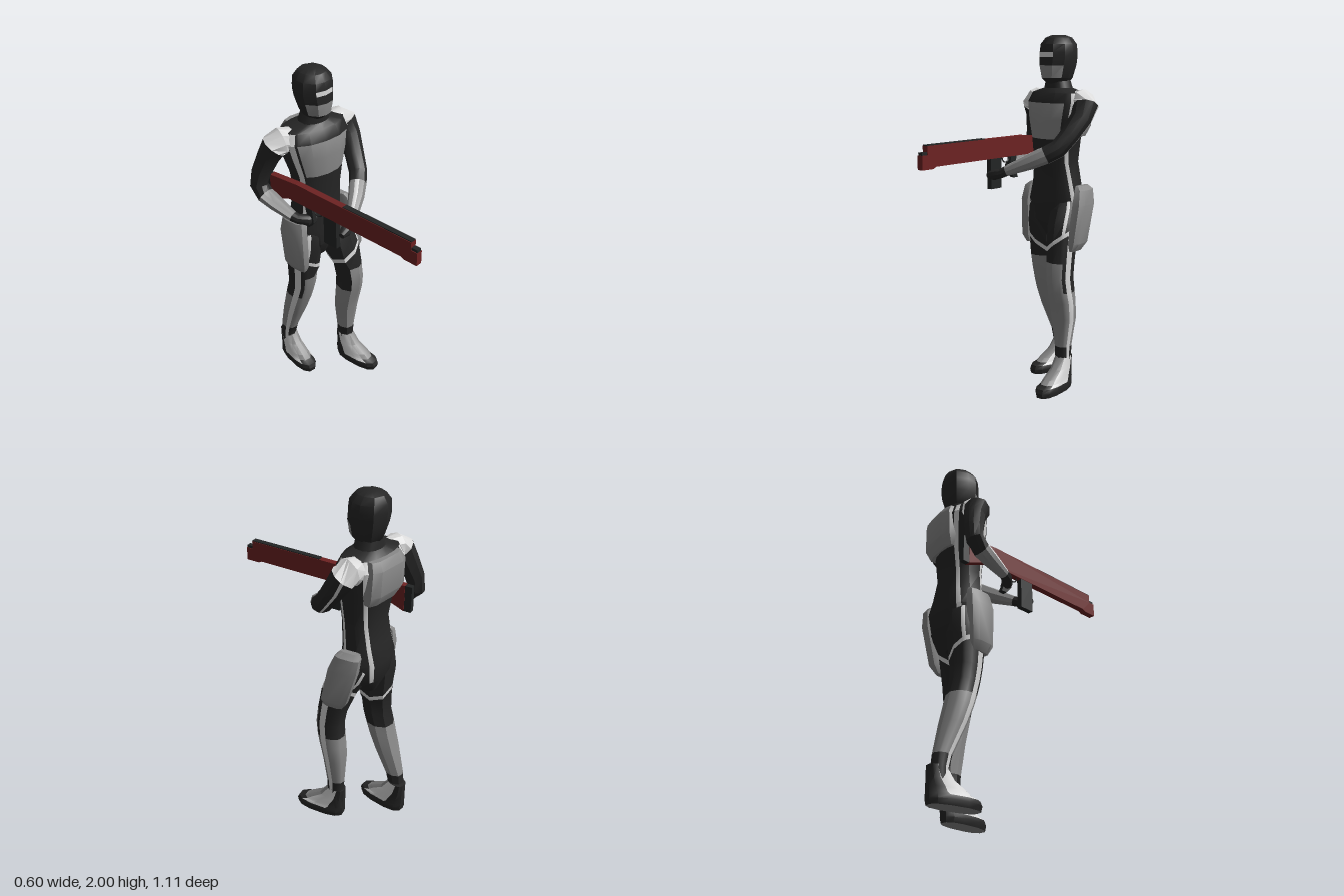
import * as THREE from 'three';
import { toCreasedNormals } from 'three/addons/utils/BufferGeometryUtils.js';

const COLORS = { suitBlack: 0x262626, armourGrey: 0x8a8a8a, trimWhite: 0xdadada, rifleRed: 0x6e2222, gunBlack: 0x232525 };
const V = (x, y, z) => new THREE.Vector3(x, y, z);

export function createModel() {
  const root = new THREE.Group();
  root.name = 'armedTrooper';
  const mats = Object.entries(COLORS).map(([name, color]) => {
    const m = new THREE.MeshStandardMaterial({ color });
    m.name = name;
    return m;
  });
  const [BLACK, GREY, WHITE, RED, GUN] = [0, 1, 2, 3, 4];

  // Skin over rings [x, y, z, rx, rz, yaw, tilt]; angle 0 is the outer side, 90 the front.
  // With opt.ref the rings follow the path, otherwise they lie flat (listed bottom up).
  function loft(name, rings, angles, colour, opt = {}) {
    const { s = 1, pow = 0.9, ref = null, caps = [BLACK, BLACK] } = opt;
    const centre = rings.map(r => V(r[0], r[1], r[2]));
    const pts = rings.map(([, , , rx, rz, yaw = 0, tilt = 0], i) => {
      let t = V(0, 1, 0), u = V(Math.cos(yaw), 0, -Math.sin(yaw)).multiplyScalar(s);
      if (ref) {
        t = centre[Math.min(i + 1, rings.length - 1)].clone().sub(centre[Math.max(i - 1, 0)]).normalize();
        u = ref.clone().addScaledVector(t, -ref.dot(t)).normalize();
      }
      const v = u.clone().cross(t).multiplyScalar(s);
      return angles.map(deg => {
        const a = deg * Math.PI / 180, c = Math.cos(a), n = Math.sin(a);
        const p = centre[i].clone()
          .addScaledVector(u, rx * Math.sign(c) * Math.abs(c) ** pow)
          .addScaledVector(v, rz * Math.sign(n) * Math.abs(n) ** pow);
        p.y += tilt * c;
        return p;
      });
    });
    const buckets = mats.map(() => []);
    const tri = (m, a, b, c) => [a, ...(s > 0 ? [b, c] : [c, b])].forEach(p => buckets[m].push(p.x, p.y, p.z));
    const N = angles.length, last = rings.length - 1;
    for (let j = 0; j < N; j++) {
      const k = (j + 1) % N;
      for (let i = 0; i < last; i++) {
        const m = colour(i, j);
        tri(m, pts[i][j], pts[i + 1][j], pts[i][k]);
        tri(m, pts[i + 1][j], pts[i + 1][k], pts[i][k]);
      }
      tri(caps[0], centre[0], pts[0][j], pts[0][k]);
      tri(caps[1], centre[last], pts[last][k], pts[last][j]);
    }
    let geo = new THREE.BufferGeometry();
    geo.setAttribute('position', new THREE.Float32BufferAttribute(buckets.flat(), 3));
    geo = toCreasedNormals(geo, 0.55);
    let start = 0;
    buckets.forEach((b, m) => {
      if (b.length) geo.addGroup(start, b.length / 3, m);
      start += b.length / 3;
    });
    const mesh = new THREE.Mesh(geo, mats);
    mesh.name = name;
    root.add(mesh);
    return mesh;
  }
  const even = (n, from) => Array.from({ length: n }, (_, i) => from + i * 360 / n);

  // Torso: chest panel and four long stripes, turned towards the rifle
  loft('torso', [
    [0.015, 0.86, -0.315, 0.05, 0.06], [0.015, 0.97, -0.315, 0.15, 0.112, -0.03],
    [0.015, 1.08, -0.32, 0.17, 0.124, -0.08], [0.02, 1.18, -0.31, 0.15, 0.11, -0.13],
    [0.02, 1.3, -0.298, 0.136, 0.104, -0.2], [0.02, 1.43, -0.3, 0.152, 0.117, -0.26],
    [0.02, 1.54, -0.308, 0.184, 0.13, -0.27], [0.02, 1.63, -0.315, 0.204, 0.13, -0.27],
    [0.022, 1.685, -0.315, 0.182, 0.1, -0.27], [0.025, 1.71, -0.31, 0.085, 0.07, -0.25],
    [0.025, 1.76, -0.305, 0.064, 0.066, -0.2],
  ], [16, 28, 42, 66, 90, 114, 138, 143, 157, 194, 220, 231, 250, 270, 290, 309, 320, 346], (i, j) => {
    if (i > 0 && i < 8 && [0, 7, 10, 15].includes(j)) return WHITE;
    return (i === 5 || i === 6) && j >= 2 && j <= 5 ? GREY : BLACK;
  });

  // Masked head with light visor and grey jaw guard
  loft('head', [
    [0.025, 1.735, -0.3, 0.055, 0.06], [0.025, 1.765, -0.295, 0.078, 0.09],
    [0.025, 1.835, -0.3, 0.098, 0.104], [0.025, 1.88, -0.305, 0.104, 0.104],
    [0.025, 1.906, -0.305, 0.104, 0.104], [0.025, 1.95, -0.306, 0.098, 0.1],
    [0.025, 1.985, -0.308, 0.07, 0.075], [0.025, 2, -0.308, 0.035, 0.035],
  ].map(r => [...r, -0.2]), [-5, 22, 62, 90, 118, 158, 185, 225, 270, 315], (i, j) => {
    if (i === 3 && (j === 2 || j === 3)) return WHITE;
    return i === 1 && j >= 1 && j <= 4 ? GREY : BLACK;
  });

  // Backpack
  loft('backpack', [
    [0.05, 1.44, -0.385, 0.115, 0.04], [0.053, 1.5, -0.4, 0.136, 0.057],
    [0.053, 1.64, -0.405, 0.132, 0.055], [0.05, 1.685, -0.39, 0.115, 0.045],
  ].map(r => [...r, -0.26]), even(8, 22.5), () => GREY, { pow: 0.55, caps: [GREY, GREY] });

  // Legs: ankle, greaves, knee pad, slanted hem and thigh
  const legAngles = [2, 28, 45, 58, 90, 135, 180, 225, 270, 302, 315, 340];
  const legColour = (i, j) => {
    if (i === 8) return WHITE;
    if (i > 8) return j === 2 || j === 9 ? WHITE : BLACK;
    if (j === 0) return WHITE;
    if (i >= 2 && i <= 4) return GREY;
    if (i === 0) return j >= 2 && j <= 4 ? GREY : BLACK;
    return (i === 5 || i === 6) && j >= 2 && j <= 4 ? GREY : BLACK;
  };
  loft('leftLeg', [
    [0.142, 0.06, -0.21, 0.045, 0.052], [0.142, 0.18, -0.205, 0.042, 0.048],
    [0.142, 0.25, -0.205, 0.044, 0.052], [0.147, 0.42, -0.2, 0.07, 0.066],
    [0.147, 0.52, -0.185, 0.075, 0.073], [0.145, 0.58, -0.175, 0.072, 0.078],
    [0.14, 0.66, -0.167, 0.071, 0.081], [0.136, 0.75, -0.178, 0.075, 0.084],
    [0.127, 0.848, -0.205, 0.083, 0.092, 0, 0.065], [0.125, 0.873, -0.213, 0.085, 0.094, 0, 0.065],
    [0.118, 0.96, -0.25, 0.09, 0.108, 0, 0.02], [0.11, 1.04, -0.285, 0.085, 0.1], [0.095, 1.11, -0.31, 0.07, 0.07],
  ], legAngles, legColour);
  loft('rightLeg', [
    [-0.06, 0.06, -0.485, 0.045, 0.052], [-0.067, 0.18, -0.49, 0.04, 0.046],
    [-0.068, 0.25, -0.477, 0.042, 0.052], [-0.075, 0.42, -0.418, 0.068, 0.068],
    [-0.078, 0.52, -0.385, 0.074, 0.075], [-0.08, 0.58, -0.367, 0.072, 0.079],
    [-0.08, 0.66, -0.345, 0.071, 0.081], [-0.082, 0.74, -0.337, 0.075, 0.086],
    [-0.08, 0.815, -0.333, 0.082, 0.095, 0, 0.06], [-0.08, 0.84, -0.333, 0.084, 0.097, 0, 0.06],
    [-0.075, 0.94, -0.33, 0.09, 0.113, 0, 0.02], [-0.068, 1.04, -0.325, 0.086, 0.108], [-0.055, 1.11, -0.32, 0.07, 0.08],
  ], legAngles, legColour, { s: -1 });

  // Shoes, built around the ankle and then placed
  for (const [name, x, z, yaw] of [['leftShoe', 0.142, -0.21, 0], ['rightShoe', -0.058, -0.502, -0.24]]) {
    const shoe = loft(name, [
      [0, 0, 0.1, 0.056, 0.145], [0, 0.028, 0.1, 0.064, 0.15], [0, 0.05, 0.095, 0.06, 0.145],
      [0, 0.062, 0.075, 0.055, 0.125], [0, 0.085, 0.06, 0.052, 0.11],
      [0, 0.125, 0.025, 0.046, 0.075], [0, 0.19, 0, 0.042, 0.05],
    ], even(12, 15), (i, j) => {
      if (i < 2 || (j >= 6 && j <= 10)) return BLACK;
      if (i === 2) return j >= 1 && j <= 3 ? BLACK : WHITE;
      return j >= 1 && j <= 3 ? GREY : WHITE;
    }, { pow: 0.8, caps: [GREY, BLACK] });
    shoe.position.set(x, 0, z);
    shoe.rotation.y = yaw;
  }

  // Thigh pads
  const pad = (name, s, x0, z0, lean) => loft(name, [
    [0.208, 0.815, 0.02, 0.055], [0.218, 0.86, 0.038, 0.076], [0.222, 1.07, 0.04, 0.084],
    [0.212, 1.15, 0.032, 0.072], [0.195, 1.172, 0.015, 0.055],
  ].map(([x, y, rx, rz]) => [s * (x + x0), y, z0 - lean * (y - 0.81), rx, rz]),
  even(8, 22.5), () => GREY, { s, pow: 0.65, caps: [GREY, GREY] });
  pad('leftThighPad', 1, 0, -0.212, 0.24);
  pad('rightThighPad', -1, -0.063, -0.31, 0.04);

  // Arms, from shoulder to fingertips: white joint band, black sleeve, grey forearm guard
  const armAngles = [0, 35, 72, 86, 130, 175, 220, 258, 282, 320];
  const armColour = (sleeve, guard) => (i, j) => {
    if (i < 2) return WHITE;
    if (i === 6 || i === 7) return j === guard ? WHITE : GREY;
    return i < 6 && j === sleeve ? WHITE : BLACK;
  };
  loft('leftArm', [
    [0.15, 1.63, -0.305, 0.066], [0.2, 1.633, -0.288, 0.073], [0.232, 1.613, -0.268, 0.071],
    [0.226, 1.55, -0.23, 0.061], [0.192, 1.46, -0.168, 0.053], [0.155, 1.39, -0.115, 0.05],
    [0.1, 1.355, -0.075, 0.048], [0.03, 1.32, -0.032, 0.044], [-0.09, 1.265, 0.028, 0.028],
    [-0.12, 1.25, 0.036, 0.026], [-0.165, 1.24, 0.045, 0.03], [-0.2, 1.235, 0.05, 0.016],
  ].map(r => [...r, r[3]]), armAngles, armColour(2, 7), { ref: V(0.6, 0, 1) });
  loft('rightArm', [
    [-0.11, 1.63, -0.355, 0.066], [-0.16, 1.633, -0.375, 0.072], [-0.196, 1.613, -0.393, 0.07],
    [-0.208, 1.55, -0.424, 0.06], [-0.238, 1.45, -0.458, 0.052], [-0.253, 1.375, -0.465, 0.049],
    [-0.256, 1.33, -0.42, 0.047], [-0.254, 1.305, -0.35, 0.042], [-0.25, 1.265, -0.235, 0.028],
    [-0.243, 1.258, -0.205, 0.027], [-0.21, 1.25, -0.168, 0.03], [-0.165, 1.25, -0.15, 0.016],
  ].map(r => [...r, r[3]]), armAngles, armColour(-1, 0), { ref: V(-1, 0, 0.5) });

  // Rifle: side profiles in (z, y), extruded across its width
  const rifle = new THREE.Group();
  rifle.name = 'rifle';
  rifle.position.x = -0.203;
  rifle.rotation.y = -0.0625;
  root.add(rifle);
  function plate(name, outline, width, mat) {
    const shape = new THREE.Shape(outline.map(p => new THREE.Vector2(...p)));
    const geo = new THREE.ExtrudeGeometry(shape, { depth: width, bevelEnabled: false });
    geo.translate(0, 0, -width / 2).rotateY(-Math.PI / 2);
    const mesh = new THREE.Mesh(geo, mats[mat]);
    mesh.name = name;
    rifle.add(mesh);
  }
  const rect = (z0, z1, y0, y1) => [[z0, y0], [z1, y0], [z1, y1], [z0, y1]];
  plate('rifleBody', [[-0.44, 1.27], [-0.3, 1.325], [0.46, 1.325], [0.48, 1.315], [0.558, 1.315],
    [0.558, 1.39], [0.52, 1.39], [0.52, 1.437], [-0.25, 1.437], [-0.44, 1.42]], 0.036, RED);
  plate('buttPad', rect(-0.48, -0.44, 1.27, 1.42), 0.03, GUN);
  plate('topRail', rect(0.08, 0.52, 1.437, 1.442), 0.03, GUN);
  plate('muzzleTop', rect(0.52, 0.556, 1.39, 1.405), 0.028, GUN);
  plate('foregrip', rect(-0.055, 0.032, 1.155, 1.325), 0.03, GUN);
  plate('pistolGrip', [[-0.2, 1.2], [-0.165, 1.2], [-0.13, 1.24], [-0.14, 1.325], [-0.19, 1.325], [-0.175, 1.26]], 0.026, GUN);
  const guard = new THREE.Mesh(new THREE.TorusGeometry(0.032, 0.004, 5, 10, Math.PI), mats[GUN]);
  guard.name = 'triggerGuard';
  guard.rotation.set(Math.PI, Math.PI / 2, 0);
  guard.position.set(0, 1.325, -0.108);
  rifle.add(guard);

  return root;
}
